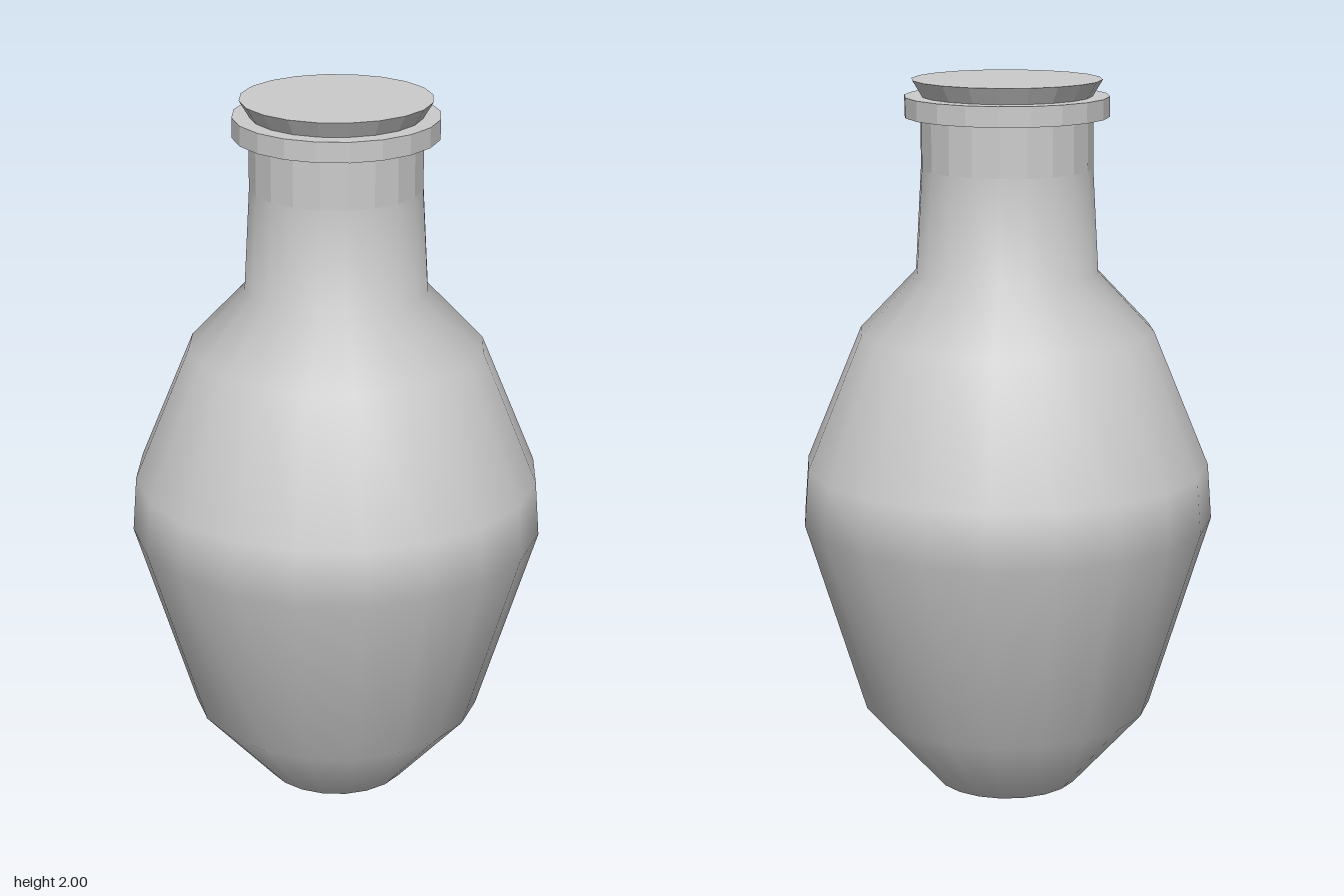
import * as THREE from 'three';

const SIDES = 20;

export function createModel() {
  const group = new THREE.Group();
  const smooth = new THREE.MeshStandardMaterial({ color: 0xcccccc });
  const faceted = new THREE.MeshStandardMaterial({ color: 0xcccccc, flatShading: true });

  const add = (name, geometry, material) => {
    const mesh = new THREE.Mesh(geometry, material);
    mesh.name = name;
    group.add(mesh);
    return mesh;
  };

  // Round section between two heights
  const ring = (name, rBottom, rTop, y0, y1, open = false) => {
    const geometry = new THREE.CylinderGeometry(rTop, rBottom, y1 - y0, SIDES, 1, open);
    add(name, geometry, faceted).position.y = (y0 + y1) / 2;
  };

  // Smooth body rising from the foot to the narrow neck
  const profile = [
    [0.205, 0], [0.408, 0.23], [0.575, 0.78], [0.563, 0.935],
    [0.408, 1.31], [0.252, 1.475], [0.236, 1.76],
  ].map(([r, y]) => new THREE.Vector2(r, y));
  add('body', new THREE.LatheGeometry(profile, SIDES), smooth);

  // Flat underside
  const base = new THREE.CircleGeometry(0.205, SIDES).rotateX(Math.PI / 2);
  add('base', base, faceted);

  // Faceted upper neck, lip and flared stopper
  ring('upperNeck', 0.236, 0.236, 1.76, 1.9, true);
  ring('lip', 0.28, 0.28, 1.9, 1.955);
  ring('stopper', 0.23, 0.26, 1.95, 2);

  return group;
}
